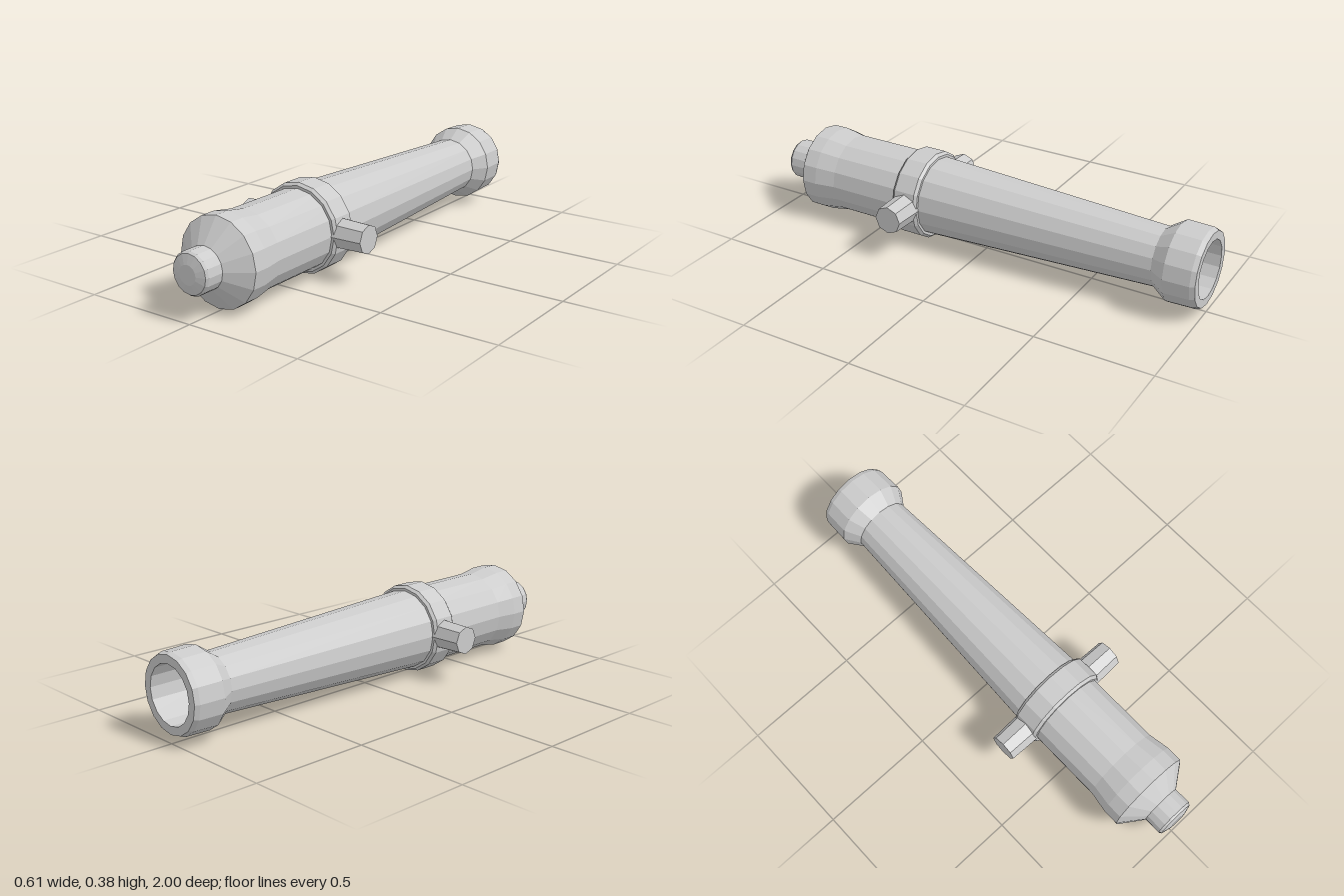
import * as THREE from 'three';

const AXIS_Y = 0.192; // height of the bore axis

export function createModel() {
  const model = new THREE.Group();
  model.name = 'cannonBarrel';
  const metal = new THREE.MeshStandardMaterial({ color: 0xcccccc, flatShading: true });

  // Turned part along z, from [radius, z] pairs
  const turned = (name, profile) => {
    const points = profile.map(([r, z]) => new THREE.Vector2(r, z));
    const mesh = new THREE.Mesh(new THREE.LatheGeometry(points, 16), metal);
    mesh.rotation.x = Math.PI / 2;
    mesh.position.y = AXIS_Y;
    mesh.name = name;
    model.add(mesh);
  };

  // Hollow barrel: bore, flared muzzle, tapering chase and breech
  turned('barrel', [
    [0, -0.3], [0.125, -0.3], [0.125, -0.78], [0.122, -1],
    [0.157, -1], [0.165, -0.98], [0.168, -0.87], [0.125, -0.805],
    [0.17, 0.24], [0.17, 0.68], [0.185, 0.77], [0.185, 0.837],
    [0.087, 0.907],
  ]);

  // Knob behind the breech
  turned('breechKnob', [[0.087, 0.905], [0.087, 0.98], [0.08, 0.99], [0.04, 1], [0, 1]]);

  // Reinforcing band that carries the trunnions
  turned('trunnionBand', [
    [0.165, 0.24], [0.181, 0.24], [0.192, 0.252], [0.192, 0.348], [0.181, 0.36], [0.165, 0.36],
  ]);

  // Eight-sided trunnions on both sides
  for (const side of [1, -1]) {
    const trunnion = new THREE.Mesh(new THREE.CylinderGeometry(0.06, 0.065, 0.155, 8), metal);
    trunnion.rotation.z = -side * Math.PI / 2;
    trunnion.position.set(side * 0.2275, AXIS_Y, 0.3);
    trunnion.name = side > 0 ? 'leftTrunnion' : 'rightTrunnion';
    model.add(trunnion);
  }

  return model;
}
